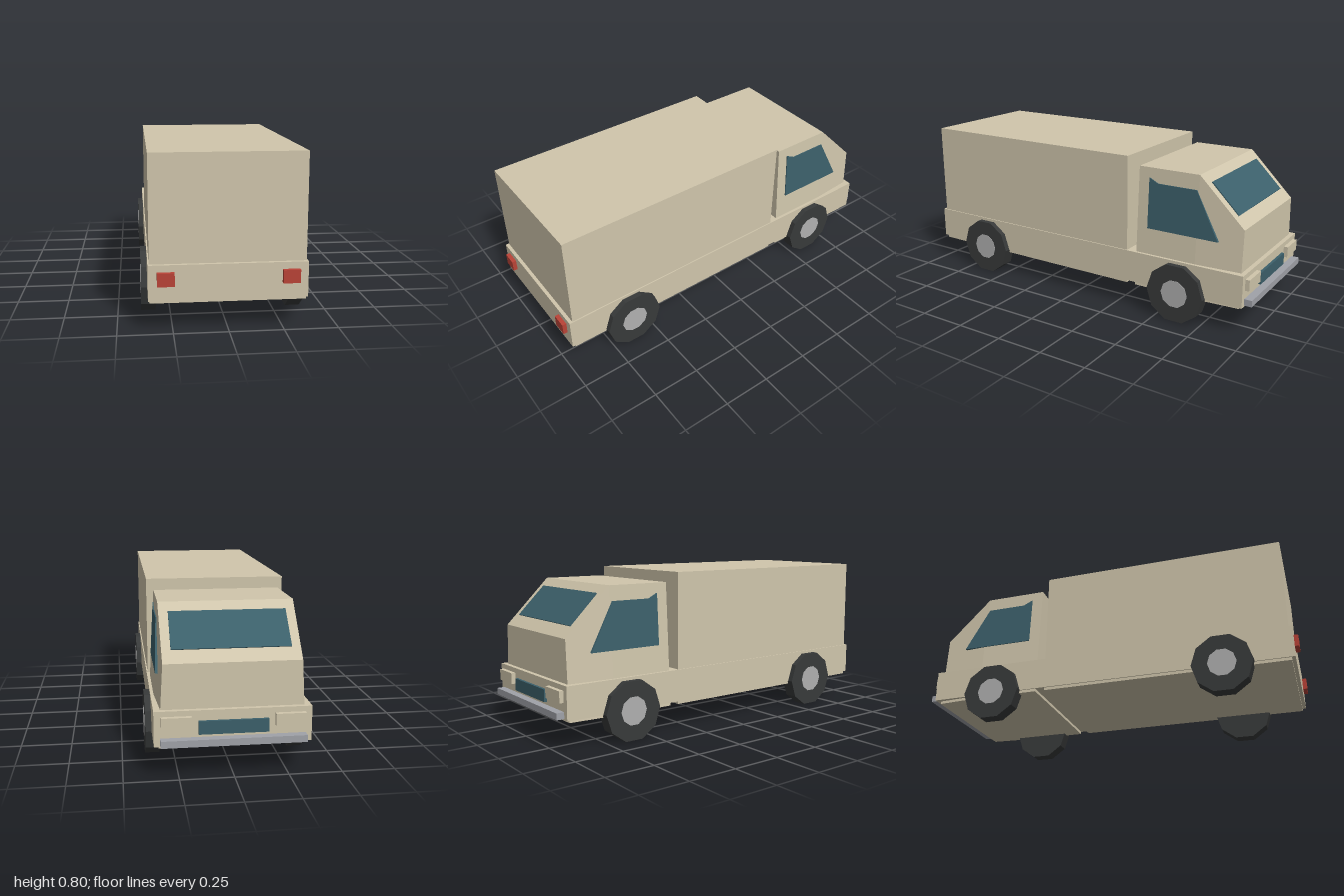
import * as THREE from 'three';

const mat = (color) => new THREE.MeshStandardMaterial({ color, flatShading: true });

export function createModel() {
  const root = new THREE.Group();
  const body = mat(0xd0c6ac), glass = mat(0x3c606b), rubber = mat(0x383a3a);
  const metal = mat(0xb0b0b0), bumperGrey = mat(0xa0a2a8), red = mat(0xba4337);

  function add(name, geometry, material) {
    const mesh = new THREE.Mesh(geometry, material);
    mesh.name = name;
    root.add(mesh);
    return mesh;
  }
  // Box given by its limits on each axis
  function box(name, [x0, x1], [y0, y1], [z0, z1], material) {
    const g = new THREE.BoxGeometry(x1 - x0, y1 - y0, z1 - z0);
    g.translate((x0 + x1) / 2, (y0 + y1) / 2, (z0 + z1) / 2);
    return add(name, g, material);
  }

  // Chassis and cargo box
  box('chassis', [-0.36, 0.36], [0.145, 0.31], [-0.96, 0.978], body);
  box('cargoBox', [-0.354, 0.354], [0.13, 0.805], [-0.32, 0.96], body);

  // Cab: three cross-sections from back to nose [z, half width low, half width high, top]
  const rings = [[-0.37, 0.355, 0.32, 0.755], [-0.70, 0.355, 0.32, 0.755], [-0.937, 0.338, 0.316, 0.52]]
    .map(([z, low, high, top]) => [[-low, 0.13, z], [low, 0.13, z], [high, top, z], [-high, top, z]]);
  const pos = [];
  const quad = (a, b, c, d) => pos.push(...a, ...b, ...c, ...a, ...c, ...d);
  quad(...rings[0]);
  for (let i = 0; i < 2; i++) {
    for (let j = 0; j < 4; j++) {
      const k = (j + 1) % 4;
      quad(rings[i][j], rings[i + 1][j], rings[i + 1][k], rings[i][k]);
    }
  }
  quad(...[...rings[2]].reverse());
  const cab = new THREE.BufferGeometry();
  cab.setAttribute('position', new THREE.Float32BufferAttribute(pos, 3));
  cab.computeVertexNormals();
  add('cab', cab, body);

  // Windscreen lying on the sloped front
  const screen = add('windscreen', new THREE.BoxGeometry(0.55, 0.012, 0.205), glass);
  screen.position.set(0, 0.642, -0.813);
  screen.rotation.x = -Math.PI / 4;

  // Side windows, leaning with the cab walls
  const outline = [[0.43, 0.445], [0.815, 0.445], [0.69, 0.68], [0.48, 0.68], [0.43, 0.705]]
    .map(([u, v]) => new THREE.Vector2(u, v));
  for (const side of [1, -1]) {
    const g = new THREE.ExtrudeGeometry(new THREE.Shape(outline), { depth: 0.03, bevelEnabled: false });
    g.rotateY(Math.PI / 2);
    const p = g.attributes.position;
    for (let i = 0; i < p.count; i++) {
      const wall = 0.355 - 0.056 * (p.getY(i) - 0.13);
      p.setX(i, side * (wall - 0.01) + p.getX(i) - 0.015);
    }
    g.computeVertexNormals();
    add(side > 0 ? 'leftWindow' : 'rightWindow', g, glass);
  }

  // Wheels: ten-sided tyres with flats on top, and hubs
  for (const side of [1, -1]) {
    for (const z of [0.628, -0.613]) {
      const wheel = new THREE.Group();
      wheel.name = 'wheel';
      for (const [name, r, width, x, m] of [['tyre', 0.155, 0.07, 0.354, rubber], ['hub', 0.073, 0.03, 0.376, metal]]) {
        const g = new THREE.CylinderGeometry(r, r, width, 10);
        g.rotateZ(Math.PI / 2);
        const mesh = new THREE.Mesh(g, m);
        mesh.name = name;
        mesh.position.x = side * x;
        wheel.add(mesh);
      }
      wheel.position.set(0, 0.1475, z);
      root.add(wheel);
    }
  }

  // Lights, grille and bumper
  for (const s of [1, -1]) {
    const span = (a, b) => (s > 0 ? [a, b] : [-b, -a]);
    box('tailLight', span(0.242, 0.32), [0.217, 0.278], [0.97, 1.0], red);
    box('headlight', span(0.19, 0.33), [0.228, 0.285], [-0.982, -0.955], body);
  }
  box('grille', [-0.16, 0.16], [0.2, 0.262], [-0.974, -0.955], glass);
  box('bumper', [-0.332, 0.332], [0.152, 0.185], [-1.0, -0.955], bumperGrey);

  return root;
}
